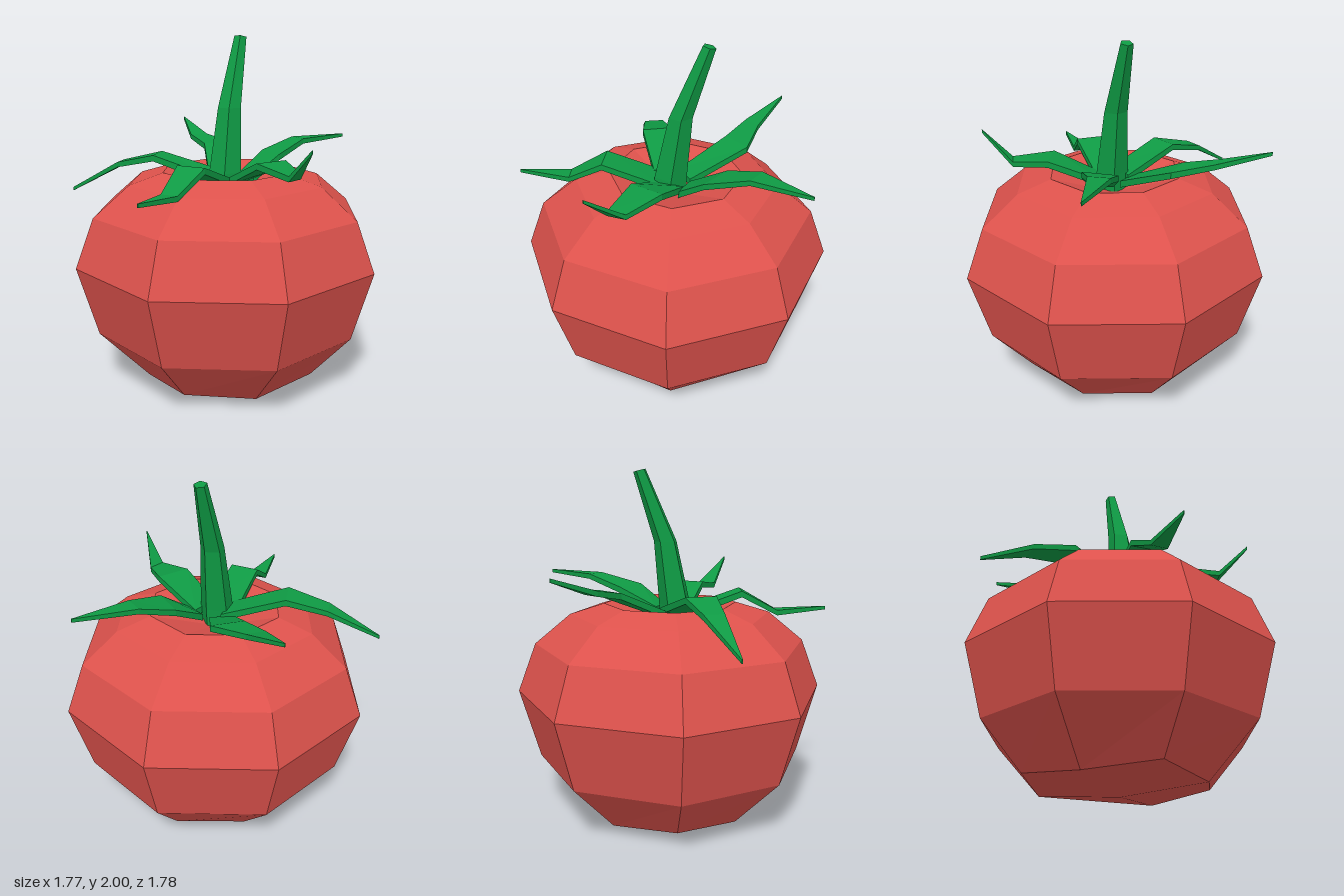
import * as THREE from 'three';

// Skin a list of equal-length rings and close both ends with a fan to a pole point.
function loft(rings, startPole, endPole) {
  const pos = [];
  const tri = (a, b, c) => pos.push(...a, ...b, ...c);
  const mean = (r) => [0, 1, 2].map((k) => r.reduce((s, p) => s + p[k], 0) / r.length);
  const n = rings[0].length;
  const first = rings[0], last = rings[rings.length - 1];
  const start = startPole || mean(first), end = endPole || mean(last);
  for (let i = 0; i < n; i++) {
    const j = (i + 1) % n;
    tri(start, first[i], first[j]);
    for (let k = 0; k < rings.length - 1; k++) {
      const a = rings[k], b = rings[k + 1];
      tri(a[i], b[i], a[j]);
      tri(a[j], b[i], b[j]);
    }
    tri(end, last[j], last[i]);
  }
  const g = new THREE.BufferGeometry();
  g.setAttribute('position', new THREE.Float32BufferAttribute(pos, 3));
  g.computeVertexNormals();
  return g;
}

// Regular polygon ring lying flat at height y.
function ring(n, r, x, y, z, turn = 0) {
  return Array.from({ length: n }, (_, i) => {
    const a = turn + (i / n) * Math.PI * 2;
    return [x + r * Math.cos(a), y, z + r * Math.sin(a)];
  });
}

export function createModel() {
  const group = new THREE.Group();
  const red = new THREE.MeshStandardMaterial({ color: 0xdd524c, flatShading: true });
  red.name = 'tomatoRed';
  const green = new THREE.MeshStandardMaterial({ color: 0x0f9a44, flatShading: true });
  green.name = 'leafGreen';
  const add = (name, geo, mat, parent = group) => {
    const m = new THREE.Mesh(geo, mat);
    m.name = name;
    parent.add(m);
  };

  // Fruit: eight-sided, with a shallow pointed base and a dimple on top
  const cz = -0.02;
  const base = ring(8, 0.54, 0, 0.08, cz).map((p, i) =>
    i % 2 ? [p[0] * 0.9, 0.04, cz + (p[2] - cz) * 0.9] : p);
  const profile = [[0.77, 0.34], [0.885, 0.74], [0.78, 1.02], [0.575, 1.19], [0.38, 1.25]];
  const fruitRings = [base, ...profile.map(([r, y]) => ring(8, r, 0, y, cz))];
  add('fruit', loft(fruitRings, [0, 0, cz], [0, 1.12, cz]), red);

  // Stem: five-sided, bending backwards
  const turn = THREE.MathUtils.degToRad(67);
  const stemPath = [
    [0.1, 0, 1.12, 0.02], [0.095, 0.005, 1.24, 0.01],
    [0.068, 0.005, 1.6, -0.045], [0.036, 0.005, 1.995, -0.19],
  ];
  const stemRings = stemPath.map(([r, x, y, z]) => ring(5, r, x, y, z, turn));
  // the cut end leans with the bend
  stemRings[3].forEach((p) => { p[1] += (p[2] + 0.19) * 0.25 - 0.004; });
  add('stem', loft(stemRings), green);

  // Leaves: stations of [edge x, edge z, other edge x, other edge z, top height]
  const leaves = {
    frontLeaf: [[-0.1, 0.06, 0.08, 0.06, 1.21], [-0.1, 0.38, 0.07, 0.39, 1.325],
      [-0.08, 0.59, 0.02, 0.59, 1.21], [-0.035, 0.88, -0.03, 0.88, 1.225]],
    rightLeaf: [[-0.06, -0.08, -0.06, 0.11, 1.23], [-0.4, 0.03, -0.36, 0.2, 1.335],
      [-0.62, 0.1, -0.6, 0.21, 1.28], [-0.89, 0.247, -0.89, 0.253, 1.115]],
    backRightLeaf: [[0.0, -0.1, -0.12, -0.03, 1.21], [-0.15, -0.42, -0.29, -0.3, 1.345],
      [-0.37, -0.49, -0.45, -0.42, 1.38], [-0.62, -0.643, -0.622, -0.64, 1.465]],
    backLeftLeaf: [[0.16, -0.04, 0.04, -0.1, 1.22], [0.26, -0.18, 0.1, -0.31, 1.33],
      [0.32, -0.42, 0.22, -0.49, 1.395], [0.472, -0.73, 0.468, -0.732, 1.4]],
    leftLeaf: [[0.06, 0.1, 0.1, -0.07, 1.22], [0.28, 0.2, 0.38, 0.03, 1.335],
      [0.5, 0.3, 0.53, 0.2, 1.3], [0.65, 0.387, 0.652, 0.383, 1.455]],
  };
  const thickness = [0.04, 0.035, 0.03, 0.02];
  const calyx = new THREE.Group();
  calyx.name = 'leaves';
  group.add(calyx);
  for (const [name, stations] of Object.entries(leaves)) {
    const rings = stations.map(([ax, az, bx, bz, y], i) => {
      const low = y - thickness[i];
      return [[ax, y, az], [bx, y, bz], [bx, low, bz], [ax, low, az]];
    });
    add(name, loft(rings), green, calyx);
  }
  return group;
}
